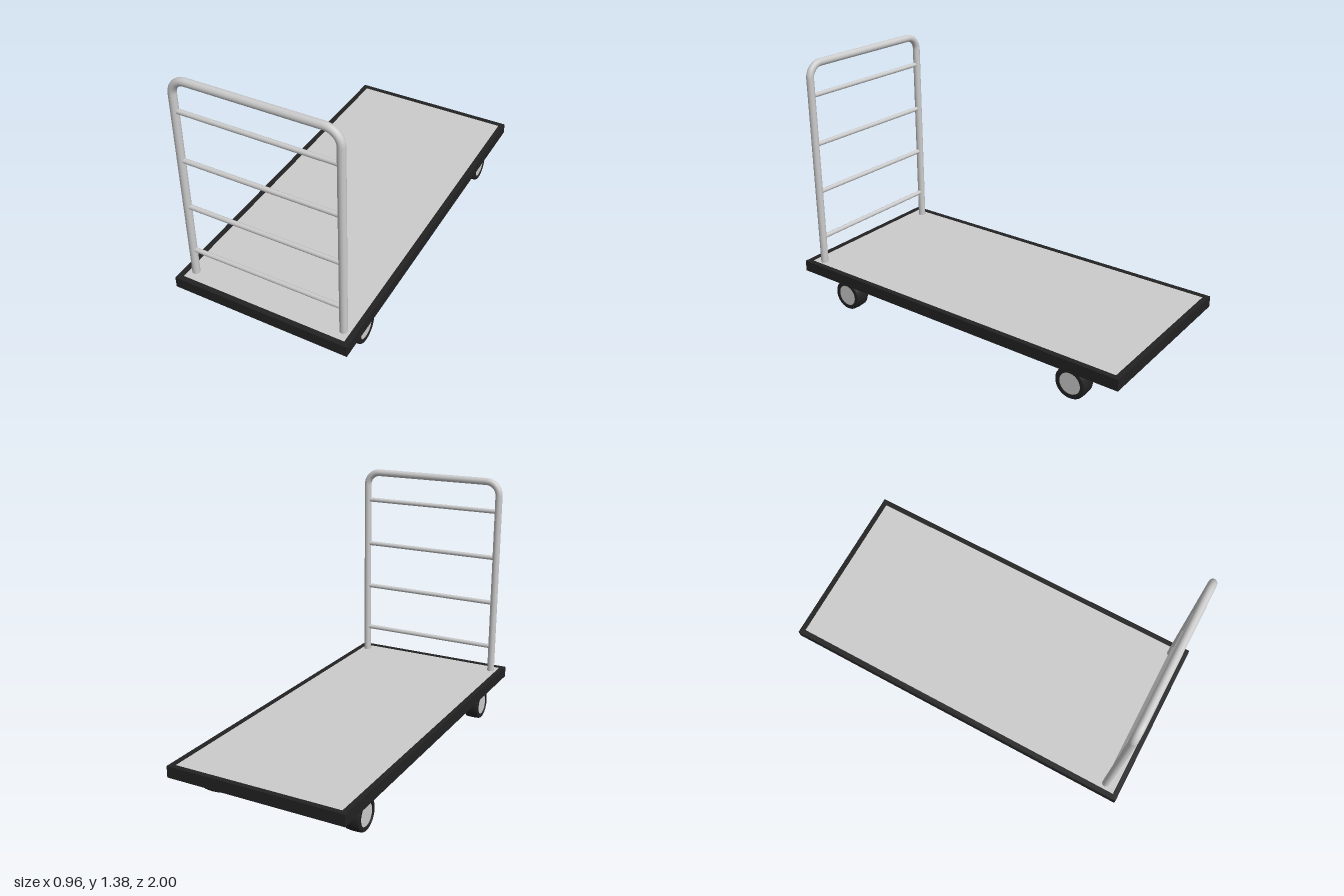
import * as THREE from 'three';

const grey = new THREE.MeshStandardMaterial({ color: 0xcccccc });
const black = new THREE.MeshStandardMaterial({ color: 0x222222 });

export function createModel() {
  const cart = new THREE.Group();
  cart.name = 'platformCart';

  const add = (name, geometry, material, x = 0, y = 0, z = 0, parent = cart) => {
    const mesh = new THREE.Mesh(geometry, material);
    mesh.name = name;
    mesh.position.set(x, y, z);
    parent.add(mesh);
    return mesh;
  };
  // Cylinder lying along x
  const rod = (radius, length, sides = 20) =>
    new THREE.CylinderGeometry(radius, radius, length, sides).rotateZ(Math.PI / 2);

  // Deck: grey panel inside a black bumper frame
  const W = 0.478, L = 1, rim = 0.028;
  const rect = (shape, w, l) =>
    shape.moveTo(-w, -l).lineTo(w, -l).lineTo(w, l).lineTo(-w, l).closePath();
  const frame = rect(new THREE.Shape(), W, L);
  frame.holes.push(rect(new THREE.Path(), W - rim, L - rim));
  const frameGeo = new THREE.ExtrudeGeometry(frame, { depth: 0.06, bevelEnabled: false });
  add('bumperFrame', frameGeo.rotateX(-Math.PI / 2), black, 0, 0.175, 0);
  add('deckPanel', new THREE.BoxGeometry(2 * (W - rim), 0.05, 2 * (L - rim)), grey, 0, 0.207, 0);

  // Push handle: one bent tube with rungs
  const handle = new THREE.Group();
  handle.name = 'handle';
  handle.position.z = 0.913;
  cart.add(handle);
  const hx = 0.415, top = 1.355, bend = 0.075;
  const v = (x, y) => new THREE.Vector3(x, y, 0);
  // Straight runs joined by quarter-circle bends
  const points = [v(-hx, 0.21), v(-hx, 0.8)];
  for (const side of [-1, 1]) {
    for (let i = 0; i <= 10; i++) {
      const a = side < 0 ? Math.PI - i * Math.PI / 20 : Math.PI / 2 - i * Math.PI / 20;
      points.push(v(side * (hx - bend) + bend * Math.cos(a), top - bend + bend * Math.sin(a)));
    }
  }
  points.push(v(hx, 0.8), v(hx, 0.21));
  const path = new THREE.CurvePath();
  for (let i = 1; i < points.length; i++) path.add(new THREE.LineCurve3(points[i - 1], points[i]));
  add('handleTube', new THREE.TubeGeometry(path, 240, 0.02, 16), grey, 0, 0, 0, handle);
  for (const y of [0.382, 0.651, 0.92, 1.189]) {
    add('rung', rod(0.0125, 2 * hx, 14), grey, 0, y, 0, handle);
  }

  // Tyre cross-section, revolved about the axle
  const tyreProfile = [
    [0.058, -0.041], [0.074, -0.041], [0.079, -0.0395], [0.083, -0.034],
    [0.085, 0], [0.083, 0.034], [0.079, 0.0395], [0.074, 0.041], [0.058, 0.041], [0.058, -0.041],
  ].map(([r, h]) => new THREE.Vector2(r, h));
  const tyreGeo = new THREE.LatheGeometry(tyreProfile, 40).rotateZ(Math.PI / 2);

  // Axle bracket: trapezoid narrowing downwards
  const bracketShape = new THREE.Shape()
    .moveTo(-0.083, 0.184).lineTo(-0.026, 0.078).lineTo(0.026, 0.078).lineTo(0.083, 0.184).closePath();
  const bracketGeo = new THREE.ExtrudeGeometry(bracketShape, { depth: 0.07, bevelEnabled: false })
    .translate(0, 0, -0.035).rotateY(Math.PI / 2);

  // Front and rear wheel sets
  for (const z of [0.728, -0.724]) {
    const set = new THREE.Group();
    set.name = z > 0 ? 'frontWheelSet' : 'rearWheelSet';
    set.position.z = z;
    cart.add(set);
    add('axleBracket', bracketGeo, grey, 0, 0, 0, set);
    add('axle', rod(0.016, 0.76), grey, 0, 0.085, 0, set);
    for (const x of [-0.398, 0.398]) {
      add('tyre', tyreGeo, black, x, 0.085, 0, set);
      add('hub', rod(0.0585, 0.074, 40), grey, x, 0.085, 0, set);
    }
  }
  return cart;
}
